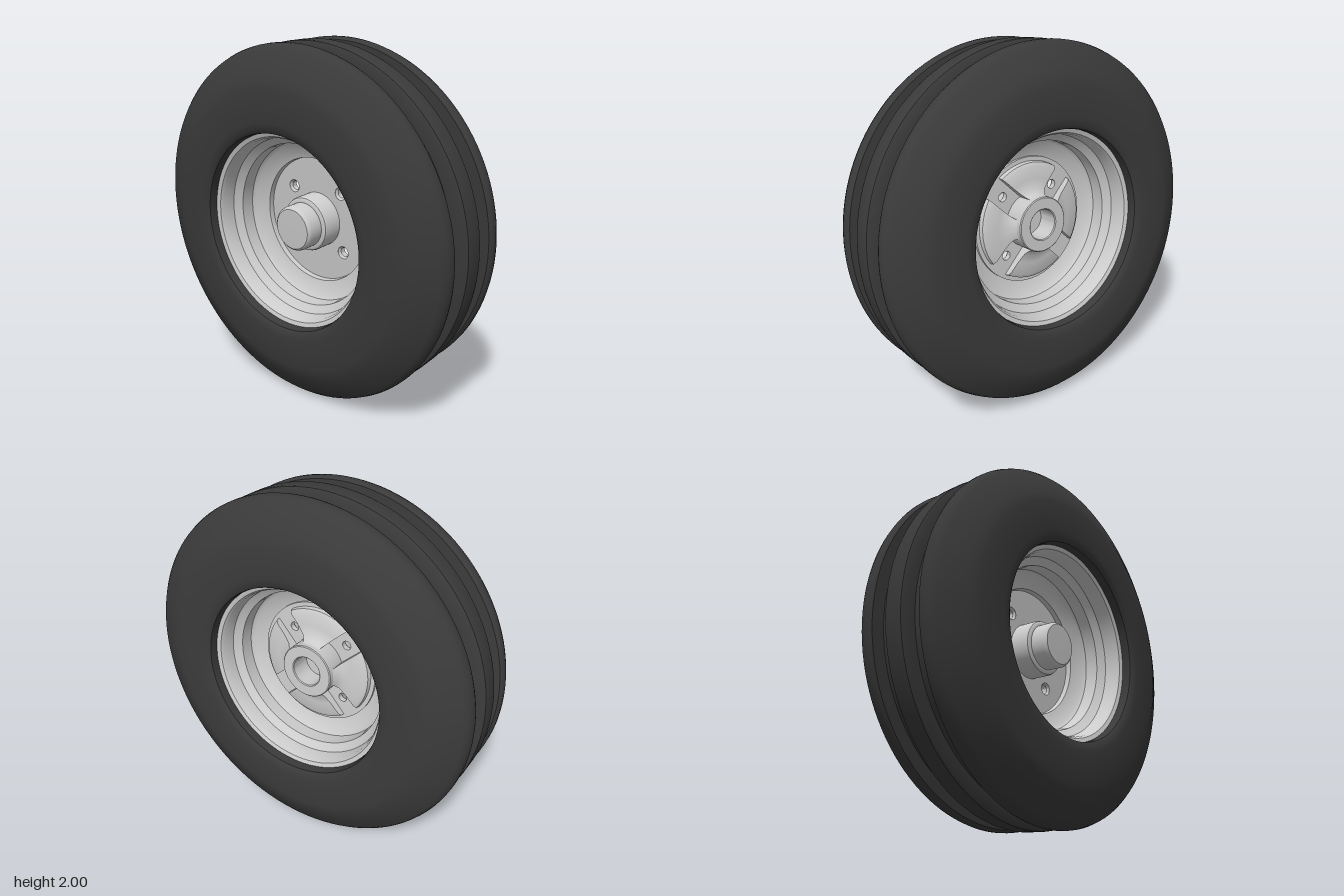
import * as THREE from 'three';
import { toCreasedNormals } from 'three/addons/utils/BufferGeometryUtils.js';

const metal = new THREE.MeshStandardMaterial({ color: 0xcccccc, side: THREE.DoubleSide });
const rubber = new THREE.MeshStandardMaterial({ color: 0x3a3a3a });

// Revolve a list of [radius, z] points around the z axis
function revolve(name, points, material, segments = 96) {
  const geo = new THREE.LatheGeometry(points.map(([r, z]) => new THREE.Vector2(r, z)), segments);
  geo.rotateX(Math.PI / 2);
  const mesh = new THREE.Mesh(toCreasedNormals(geo, 0.6), material);
  mesh.name = name;
  return mesh;
}

// Complete a half profile (z >= 0) with its mirror image
const mirrored = (half) => [...half.slice().reverse().map(([r, z]) => [r, -z]), ...half.slice(1)];

// One flared boss sector between two bolt pockets, with side walls down to the plate
function bossSector() {
  const profile = [[0.15, -0.15], [0.165, -0.115], [0.19, -0.095], [0.24, -0.085], [0.31, -0.082], [0.33, -0.07], [0.335, -0.04]];
  const columns = 18;
  const geo = new THREE.PlaneGeometry(1, 1, columns, profile.length - 1);
  const pos = geo.attributes.position;
  for (let i = 0; i < pos.count; i++) {
    const col = i % (columns + 1);
    const [r, z] = profile[Math.floor(i / (columns + 1))];
    const u = (Math.min(Math.max(col, 1), columns - 1) - 1) / (columns - 2) * 2 - 1;
    const a = u * (Math.PI / 4 - Math.asin(0.065 / r));
    const wall = col === 0 || col === columns;
    pos.setXYZ(i, r * Math.cos(a), r * Math.sin(a), wall ? -0.04 : z);
  }
  return toCreasedNormals(geo, 0.6);
}

export function createModel() {
  const model = new THREE.Group();
  model.name = 'wheel';
  const wheel = new THREE.Group();
  wheel.name = 'tiltedWheel';
  wheel.position.y = 1;
  wheel.rotation.x = 0.085;
  model.add(wheel);

  // Three-rib tyre
  wheel.add(revolve('tyre', mirrored([
    [0.985, 0], [0.985, 0.042], [0.982, 0.053], [0.972, 0.06], [0.905, 0.063],
    [0.905, 0.16], [0.97, 0.164], [0.981, 0.174], [0.985, 0.188], [0.984, 0.21],
    [0.975, 0.235], [0.955, 0.258], [0.85, 0.313], [0.81, 0.332], [0.765, 0.344],
    [0.6, 0.345], [0.56, 0.34], [0.545, 0.328], [0.541, 0.31], [0.541, 0]
  ]), rubber, 128));

  // Stepped drop-centre rim
  wheel.add(revolve('rim', mirrored([
    [0.355, 0], [0.358, 0.03], [0.44, 0.055], [0.457, 0.075], [0.46, 0.15],
    [0.487, 0.172], [0.5, 0.185], [0.508, 0.255], [0.518, 0.272], [0.541, 0.28]
  ]), metal));

  // Mounting plate with four through holes
  const shape = new THREE.Shape().absarc(0, 0, 0.358, 0, Math.PI * 2);
  const bolts = [0, 1, 2, 3].map((i) => Math.PI / 4 + i * Math.PI / 2);
  const boltRadius = 0.24;
  for (const a of bolts) {
    const x = boltRadius * Math.cos(a), y = boltRadius * Math.sin(a);
    shape.holes.push(new THREE.Path().absarc(x, y, 0.036, 0, Math.PI * 2, true));
  }
  const plateGeo = new THREE.ExtrudeGeometry(shape, { depth: 0.045, bevelEnabled: false, curveSegments: 48 });
  plateGeo.translate(0, 0, -0.045);
  const plate = new THREE.Mesh(toCreasedNormals(plateGeo, 0.6), metal);
  plate.name = 'mountingPlate';
  wheel.add(plate);

  // Countersunk hole liners and the boss sectors between them
  const bossGeo = bossSector();
  bolts.forEach((a, i) => {
    const liner = revolve('boltHole' + (i + 1),
      [[0.037, 0], [0.026, -0.014], [0.026, -0.045], [0.037, -0.045]], metal, 24);
    liner.position.set(boltRadius * Math.cos(a), boltRadius * Math.sin(a), 0);
    wheel.add(liner);

    const boss = new THREE.Mesh(bossGeo, metal);
    boss.name = 'hubBoss' + (i + 1);
    boss.rotation.z = i * Math.PI / 2;
    wheel.add(boss);
  });

  // Hub with a blind bore at the back and a stepped cap at the front
  wheel.add(revolve('hub', [
    [0, 0.06], [0.085, 0.06], [0.085, -0.165], [0.09, -0.17], [0.15, -0.17], [0.155, -0.165],
    [0.155, 0.1], [0.15, 0.113], [0.138, 0.12], [0.126, 0.12],
    [0.126, 0.195], [0.122, 0.209], [0.112, 0.218], [0, 0.22]
  ], metal, 64));

  return model;
}
